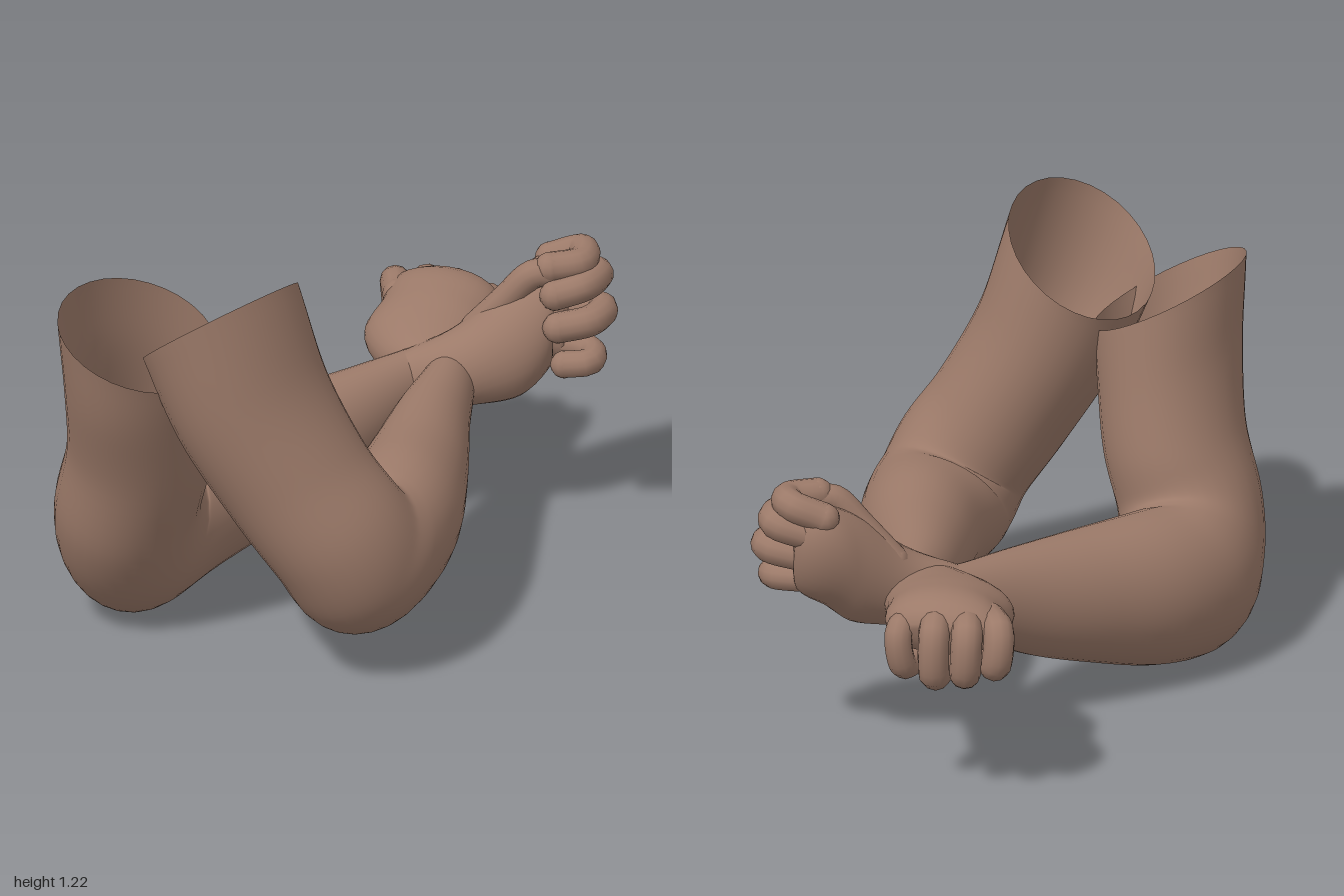
import * as THREE from 'three';
import { mergeGeometries } from 'three/addons/utils/BufferGeometryUtils.js';

const skin = new THREE.MeshStandardMaterial({ color: 0x9c7a69, side: THREE.DoubleSide });
skin.name = 'skin';

const spline = (pts) => new THREE.CatmullRomCurve3(pts, false, 'catmullrom', 0.5);
const vec = (p) => new THREE.Vector3(...p);

// Loft of elliptical sections. Each section: [one edge, opposite edge, half width across, slant along the limb].
function loft(sections, steps, sides) {
  const edgeA = spline(sections.map((s) => vec(s[0])));
  const edgeB = spline(sections.map((s) => vec(s[1])));
  const across = spline(sections.map((s, i) => new THREE.Vector3(i, s[2], s[3] ?? 0)));
  const centre = (t) => edgeA.getPoint(t).add(edgeB.getPoint(t)).multiplyScalar(0.5);
  const pos = [], index = [];
  for (let i = 0; i <= steps; i++) {
    const t = i / steps;
    const c = centre(t);
    const a = edgeB.getPoint(t).sub(c);
    const { y: width, z: slant } = across.getPoint(t);
    const tangent = centre(Math.min(1, t + 0.03)).sub(centre(Math.max(0, t - 0.03))).normalize();
    const b = tangent.clone().cross(a).setLength(width).addScaledVector(tangent, slant);
    for (let j = 0; j < sides; j++) {
      const ang = (j / sides) * Math.PI * 2;
      const p = c.clone().addScaledVector(a, Math.cos(ang)).addScaledVector(b, Math.sin(ang));
      pos.push(p.x, p.y, p.z);
      if (i < steps) {
        const q = i * sides + j, r = i * sides + ((j + 1) % sides);
        index.push(q, r, q + sides, r, r + sides, q + sides);
      }
    }
  }
  // close the far end
  const end = centre(1), pole = pos.length / 3;
  pos.push(end.x, end.y, end.z);
  for (let j = 0; j < sides; j++) index.push(steps * sides + j, steps * sides + ((j + 1) % sides), pole);
  const g = new THREE.BufferGeometry();
  g.setAttribute('position', new THREE.Float32BufferAttribute(pos, 3));
  g.setIndex(index);
  g.computeVertexNormals();
  return g;
}

// Curled finger: a tube through its joints with rounded ends
function finger(joints, radius) {
  const pts = joints.map(vec);
  const ball = (p) => new THREE.SphereGeometry(radius, 12, 8).translate(p.x, p.y, p.z);
  return mergeGeometries([
    new THREE.TubeGeometry(spline(pts), 18, radius, 12),
    ball(pts[0]), ball(pts[pts.length - 1]),
  ]);
}

const arms = {
  left: {
    // inner edge (crease side), outer edge (elbow side), half width, slant
    arm: [
      [[0.05, 1.03, 0.425], [0.02, 1.105, 0.99], 0.23, 0.07],
      [[0.14, 0.80, 0.415], [0.11, 0.83, 0.95], 0.215, 0.02],
      [[0.26, 0.60, 0.405], [0.24, 0.58, 0.88], 0.205],
      [[0.33, 0.52, 0.39], [0.37, 0.36, 0.81], 0.205],
      [[0.345, 0.515, 0.365], [0.42, 0.19, 0.71], 0.205],
      [[0.345, 0.53, 0.325], [0.43, 0.125, 0.56], 0.205],
      [[0.34, 0.545, 0.20], [0.39, 0.14, 0.28], 0.182],
      [[0.29, 0.54, 0.00], [0.30, 0.20, 0.00], 0.152],
      [[0.215, 0.54, -0.25], [0.215, 0.275, -0.25], 0.112],
      [[0.165, 0.54, -0.44], [0.165, 0.35, -0.45], 0.078],
      [[0.12, 0.53, -0.52], [0.12, 0.38, -0.54], 0.07],
    ],
    hand: [
      [[0.09, 0.45, -0.42], [0.24, 0.45, -0.46], 0.085],
      [[-0.07, 0.46, -0.49], [0.22, 0.46, -0.56], 0.092],
      [[-0.19, 0.47, -0.61], [0.18, 0.48, -0.67], 0.105],
      [[-0.205, 0.50, -0.74], [0.14, 0.50, -0.77], 0.105],
      [[-0.235, 0.51, -0.85], [0.11, 0.52, -0.88], 0.095],
      [[-0.20, 0.49, -0.92], [0.07, 0.49, -0.93], 0.05],
    ],
    fingers: [
      [[-0.18, 0.53, -0.80], [-0.235, 0.525, -0.89], [-0.23, 0.43, -0.90], [-0.18, 0.42, -0.82]],
      [[-0.12, 0.54, -0.83], [-0.155, 0.525, -0.94], [-0.15, 0.41, -0.94], [-0.12, 0.40, -0.85]],
      [[-0.04, 0.54, -0.84], [-0.06, 0.525, -0.95], [-0.06, 0.40, -0.95], [-0.05, 0.395, -0.86]],
      [[0.04, 0.53, -0.83], [0.05, 0.51, -0.94], [0.04, 0.41, -0.93], [0.03, 0.40, -0.85]],
    ],
    thumb: [[-0.08, 0.44, -0.60], [-0.16, 0.44, -0.70], [-0.16, 0.41, -0.78], [-0.10, 0.40, -0.84]],
  },
  right: {
    arm: [
      [[-0.24, 0.985, 0.435], [-0.21, 0.96, 1.00], 0.215, -0.09],
      [[-0.255, 0.78, 0.40], [-0.225, 0.78, 0.95], 0.205, -0.03],
      [[-0.295, 0.59, 0.36], [-0.255, 0.55, 0.86], 0.205],
      [[-0.35, 0.50, 0.35], [-0.32, 0.28, 0.785], 0.207],
      [[-0.37, 0.48, 0.325], [-0.36, 0.08, 0.64], 0.21],
      [[-0.365, 0.48, 0.275], [-0.375, -0.005, 0.46], 0.212],
      [[-0.305, 0.49, 0.16], [-0.33, 0.025, 0.22], 0.197],
      [[-0.19, 0.50, -0.02], [-0.21, 0.105, -0.02], 0.165],
      [[-0.07, 0.515, -0.24], [-0.08, 0.20, -0.24], 0.12],
      [[0.03, 0.53, -0.44], [0.03, 0.33, -0.44], 0.074],
      [[0.10, 0.55, -0.52], [0.10, 0.37, -0.52], 0.065],
    ],
    hand: [
      [[0.03, 0.53, -0.44], [0.04, 0.34, -0.45], 0.07],
      [[0.15, 0.60, -0.55], [0.20, 0.37, -0.51], 0.105],
      [[0.26, 0.73, -0.68], [0.33, 0.40, -0.58], 0.125],
      [[0.34, 0.79, -0.76], [0.39, 0.48, -0.67], 0.105],
      [[0.405, 0.77, -0.755], [0.435, 0.51, -0.68], 0.055],
    ],
    fingers: [
      [[0.33, 0.76, -0.765], [0.42, 0.795, -0.785], [0.455, 0.79, -0.71], [0.39, 0.785, -0.645]],
      [[0.35, 0.70, -0.765], [0.47, 0.735, -0.785], [0.485, 0.735, -0.68], [0.42, 0.715, -0.62]],
      [[0.36, 0.62, -0.735], [0.50, 0.645, -0.75], [0.515, 0.64, -0.66], [0.44, 0.625, -0.60]],
      [[0.37, 0.54, -0.69], [0.495, 0.535, -0.69], [0.525, 0.525, -0.63], [0.46, 0.515, -0.60]],
    ],
    thumb: [[0.18, 0.58, -0.58], [0.27, 0.68, -0.60], [0.34, 0.76, -0.62], [0.39, 0.77, -0.65]],
  },
};

export function createModel() {
  const model = new THREE.Group();
  model.name = 'crossedArms';
  for (const [side, spec] of Object.entries(arms)) {
    const group = new THREE.Group();
    group.name = side + 'ArmAndHand';
    const add = (name, geometry) => {
      const mesh = new THREE.Mesh(geometry, skin);
      mesh.name = name;
      group.add(mesh);
    };
    // open-topped upper arm running through the bent elbow to the wrist
    add(side + 'Arm', loft(spec.arm, 70, 32));
    // clenched hand
    add(side + 'Palm', loft(spec.hand, 24, 28));
    spec.fingers.forEach((f, i) => add(side + 'Finger' + (i + 1), finger(f, i === 3 ? 0.04 : 0.045)));
    add(side + 'Thumb', finger(spec.thumb, 0.042));
    model.add(group);
  }
  return model;
}
